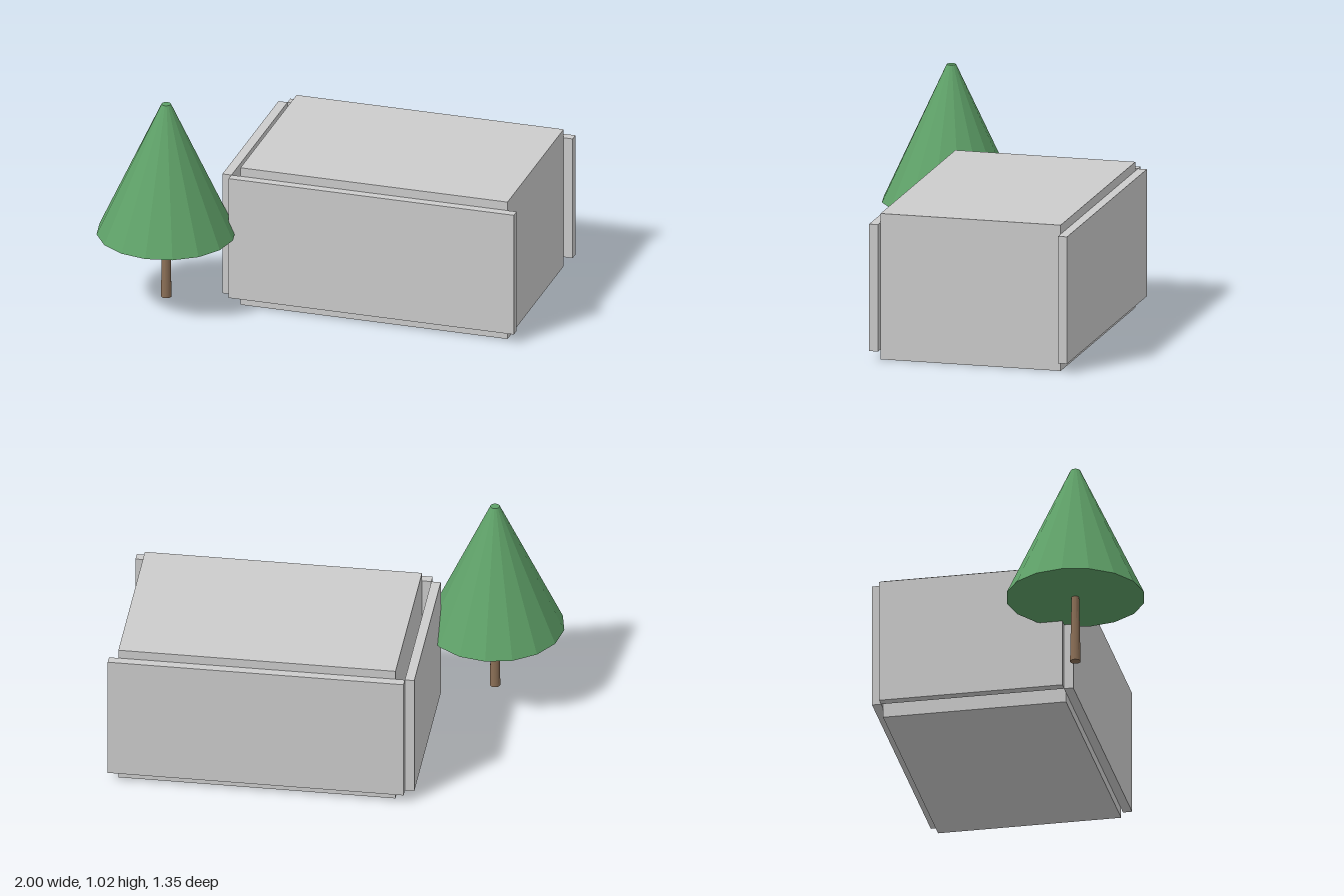
import * as THREE from 'three';

export function createModel() {
  const group = new THREE.Group();
  const mat = (name, color, flat = false) => {
    const m = new THREE.MeshStandardMaterial({ color, flatShading: flat });
    m.name = name;
    return m;
  };
  const wallGrey = mat('wall grey', 0xcccccc);
  const leafGreen = mat('leaf green', 0x5fa168, true);
  const barkBrown = mat('bark brown', 0x8b6f56, true);

  const add = (name, geometry, material, parent = group) => {
    const mesh = new THREE.Mesh(geometry, material);
    mesh.name = name;
    parent.add(mesh);
    return mesh;
  };

  // Box given by its lower and upper corners
  const slab = (name, [x0, y0, z0], [x1, y1, z1]) => {
    add(name, new THREE.BoxGeometry(x1 - x0, y1 - y0, z1 - z0), wallGrey)
      .position.set((x0 + x1) / 2, (y0 + y1) / 2, (z0 + z1) / 2);
  };

  // Building: core block with wall panels on three sides
  const low = 0.047, high = 0.654;
  slab('buildingCore', [-0.348, 0, -0.63], [0.953, 0.697, 0.238]);
  slab('frontWall', [-0.392, low, 0.238], [0.997, high, 0.281]);
  slab('backWall', [-0.392, low, -0.673], [0.997, high, -0.63]);
  slab('sideWall', [-0.436, low, -0.63], [-0.392, high, 0.238]);

  // Tree: tapered trunk and a blunt sixteen-sided cone
  const tree = new THREE.Group();
  tree.name = 'tree';
  tree.position.set(-0.675, 0, 0.348);
  add('trunk', new THREE.CylinderGeometry(0.018, 0.025, 0.33, 16), barkBrown, tree).position.y = 0.047 + 0.165;
  add('foliage', new THREE.CylinderGeometry(0.022, 0.325, 0.651, 16), leafGreen, tree).position.y = 0.374 + 0.3255;
  group.add(tree);

  return group;
}
